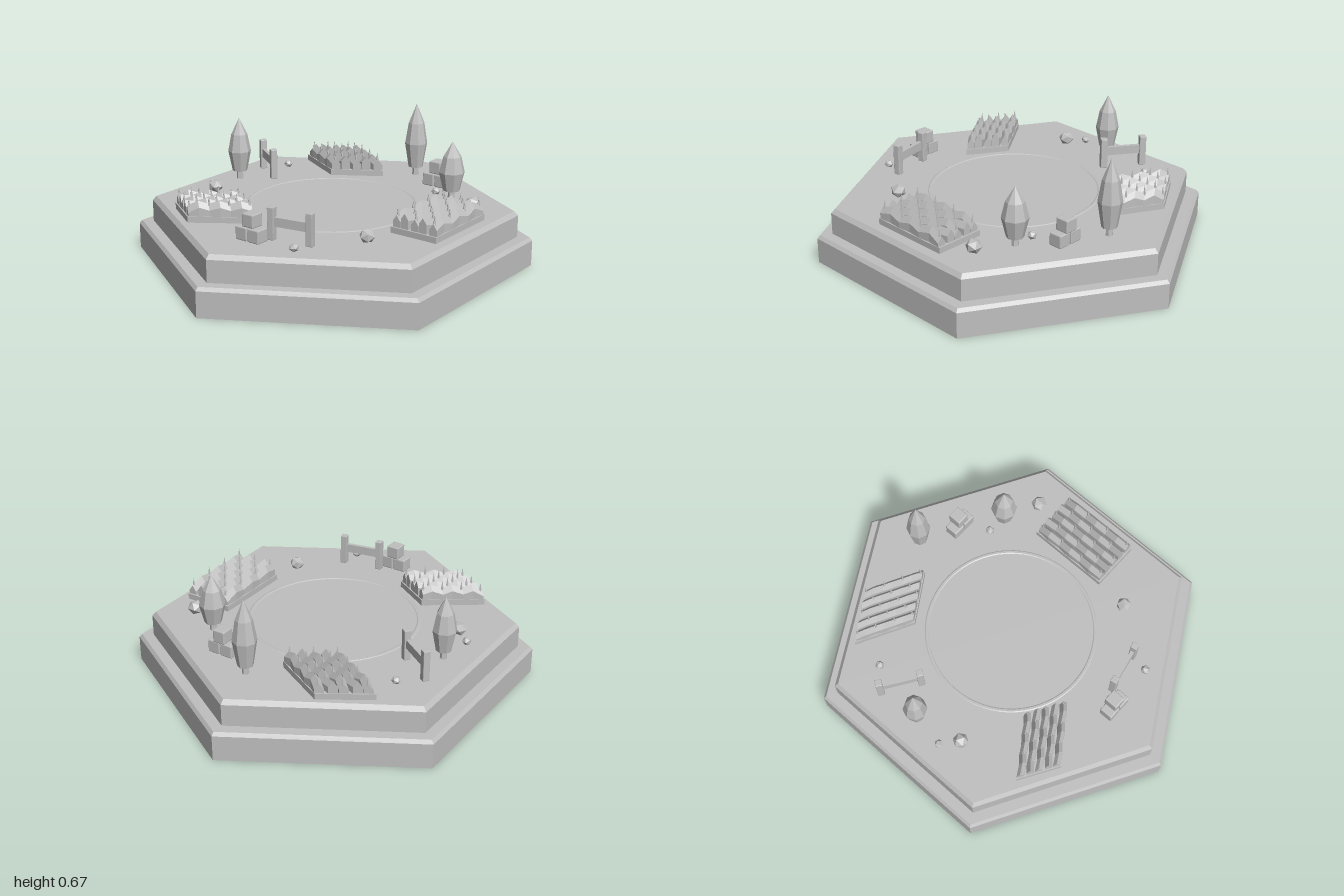
import * as THREE from 'three';
import { RoundedBoxGeometry } from 'three/addons/geometries/RoundedBoxGeometry.js';

const stone = new THREE.MeshStandardMaterial({ color: 0xbfbfbf, flatShading: true });
stone.name = 'light grey';
const TOP = 0.28; // height of the ground

export function createModel() {
  const model = new THREE.Group();
  model.name = 'farmTile';

  const add = (parent, name, geometry, x = 0, y = 0, z = 0) => {
    const mesh = new THREE.Mesh(geometry, stone);
    mesh.name = name;
    mesh.position.set(x, y, z);
    parent.add(mesh);
    return mesh;
  };
  const group = (name, x = 0, y = 0, z = 0) => {
    const g = new THREE.Group();
    g.name = name;
    g.position.set(x, y, z);
    model.add(g);
    return g;
  };
  const lathe = (points, sides) =>
    new THREE.LatheGeometry(points.map(([r, y]) => new THREE.Vector2(r, y)), sides);

  // Two bevelled hexagonal tiers
  add(model, 'lowerTier', lathe([[0, 0], [1, 0], [1, 0.13], [0.985, 0.147], [0, 0.147]], 6));
  add(model, 'upperTier', lathe([[0.925, 0.14], [0.925, 0.258], [0.905, TOP], [0, TOP]], 6));

  // Faint raised circle on the ground
  add(model, 'groundRing', lathe([[0.435, TOP], [0.43, TOP + 0.003], [0.42, TOP + 0.003], [0.415, TOP]], 64));

  // Trees: x, z, top height, radius
  for (const [x, z, top, r] of [[0.05, -0.67, 0.67, 0.06], [0.43, -0.43, 0.58, 0.066], [-0.65, -0.04, 0.61, 0.06]]) {
    const tree = group('tree', x, TOP, z);
    const h = top - 0.325;
    add(tree, 'trunk', new THREE.CylinderGeometry(0.014, 0.018, 0.06, 6), 0, 0.03, 0);
    add(tree, 'foliage', lathe(
      [[0, 0], [r * 0.65, 0], [r, h * 0.38], [r * 0.7, h * 0.7], [0, h]], 8), 0, 0.045, 0);
  }

  // Rocks: x, z, radius
  const rocks = [[-0.58, -0.36, 0.023], [-0.68, 0.135, 0.023], [-0.6, 0.205, 0.04], [0.47, 0.345, 0.039],
    [0.28, 0.645, 0.024], [0.33, -0.44, 0.024], [0.61, -0.345, 0.041]];
  rocks.forEach(([x, z, r], i) => {
    const rock = add(model, 'rock', new THREE.IcosahedronGeometry(r, 0), x, TOP + r * 0.75, z);
    rock.scale.y = 0.9;
    rock.rotation.y = i * 1.3;
  });

  // Fences: two posts joined by a rail
  for (const [x1, z1, x2, z2] of [[0.1, 0.585, 0.297, 0.547], [-0.675, -0.26, -0.505, -0.145]]) {
    const fence = group('fence', (x1 + x2) / 2, TOP, (z1 + z2) / 2);
    const length = Math.hypot(x2 - x1, z2 - z1);
    fence.rotation.y = -Math.atan2(z2 - z1, x2 - x1);
    for (const side of [-1, 1])
      add(fence, 'post', new RoundedBoxGeometry(0.034, 0.16, 0.034, 1, 0.003), side * length / 2, 0.08, 0);
    add(fence, 'rail', new THREE.BoxGeometry(length, 0.045, 0.018), 0, 0.09, 0);
  }

  // Crate stacks: two below, one on top
  for (const [x, z] of [[0.032, 0.65], [0.25, -0.575]]) {
    const stack = group('crateStack', x, TOP, z);
    for (const [cx, cy, cz] of [[-0.036, 0.033, 0], [0.036, 0.033, 0], [0, 0.1, -0.006]])
      add(stack, 'crate', new RoundedBoxGeometry(0.066, 0.066, 0.07, 1, 0.005), cx, cy, cz);
  }

  // One crop row: house-shaped cross-sections along a zigzag, in field units
  const ROWS = 5, STATIONS = 7;
  const ridge = (row, i) => {
    const zig = (i + row) % 2 ? 1 : -1;
    return {
      u: 0.02 + 0.96 * i / (STATIONS - 1),
      v: (row + 0.5) / ROWS + 0.012 * zig,
      y: 0.098 + 0.008 * zig - (i === 0 ? 0.012 : 0),
    };
  };
  const rowGeometry = (row) => {
    const positions = [], index = [], half = 0.41 / ROWS;
    for (let i = 0; i < STATIONS; i++) {
      const { u, v, y } = ridge(row, i);
      for (const [dv, h] of [[-half, 0.025], [-half, y - 0.03], [0, y], [half, y - 0.03], [half, 0.025]])
        positions.push(u, h, v + dv);
    }
    for (let i = 0; i < STATIONS - 1; i++)
      for (let j = 0; j < 4; j++) {
        const a = i * 5 + j, b = a + 5;
        index.push(a, a + 1, b, b, a + 1, b + 1);
      }
    const last = (STATIONS - 1) * 5;
    for (let j = 1; j < 4; j++) index.push(0, j + 1, j, last, last + j, last + j + 1);
    const g = new THREE.BufferGeometry();
    g.setAttribute('position', new THREE.Float32BufferAttribute(positions, 3));
    g.setIndex(index);
    return g;
  };

  // Fields: skewed plots given by a corner, the row direction and the cross direction
  const fields = [
    { o: [0.735, -0.25], u: [0, 0.425], v: [-0.255, 0] },
    { o: [-0.345, -0.68], u: [0.28, 0.15], v: [-0.235, 0.15] },
    { o: [-0.566, 0.535], u: [0.265, -0.185], v: [0.195, 0.12] },
  ];
  for (const { o, u, v } of fields) {
    const field = group('cropField');
    const skew = new THREE.Matrix4().makeBasis(
      new THREE.Vector3(u[0], 0, u[1]), new THREE.Vector3(0, 1, 0), new THREE.Vector3(v[0], 0, v[1]),
    ).setPosition(o[0], TOP, o[1]);
    const place = (g) => {
      const flat = g.index ? g.toNonIndexed() : g;
      flat.applyMatrix4(skew);
      flat.computeVertexNormals();
      return flat;
    };
    add(field, 'soilBed', place(new THREE.BoxGeometry(1, 0.03, 1).translate(0.5, 0.015, 0.5)));
    for (let row = 0; row < ROWS; row++) {
      add(field, 'cropRow', place(rowGeometry(row)));
      // Small sprouts on the ridge
      for (let i = row % 2; i < STATIONS; i += 2) {
        const r = ridge(row, i);
        const p = new THREE.Vector3(r.u * 0.94 + 0.03, r.y, r.v).applyMatrix4(skew);
        add(field, 'sprout', new THREE.ConeGeometry(0.008, 0.05, 5), p.x, p.y + 0.015, p.z);
      }
    }
  }
  return model;
}
